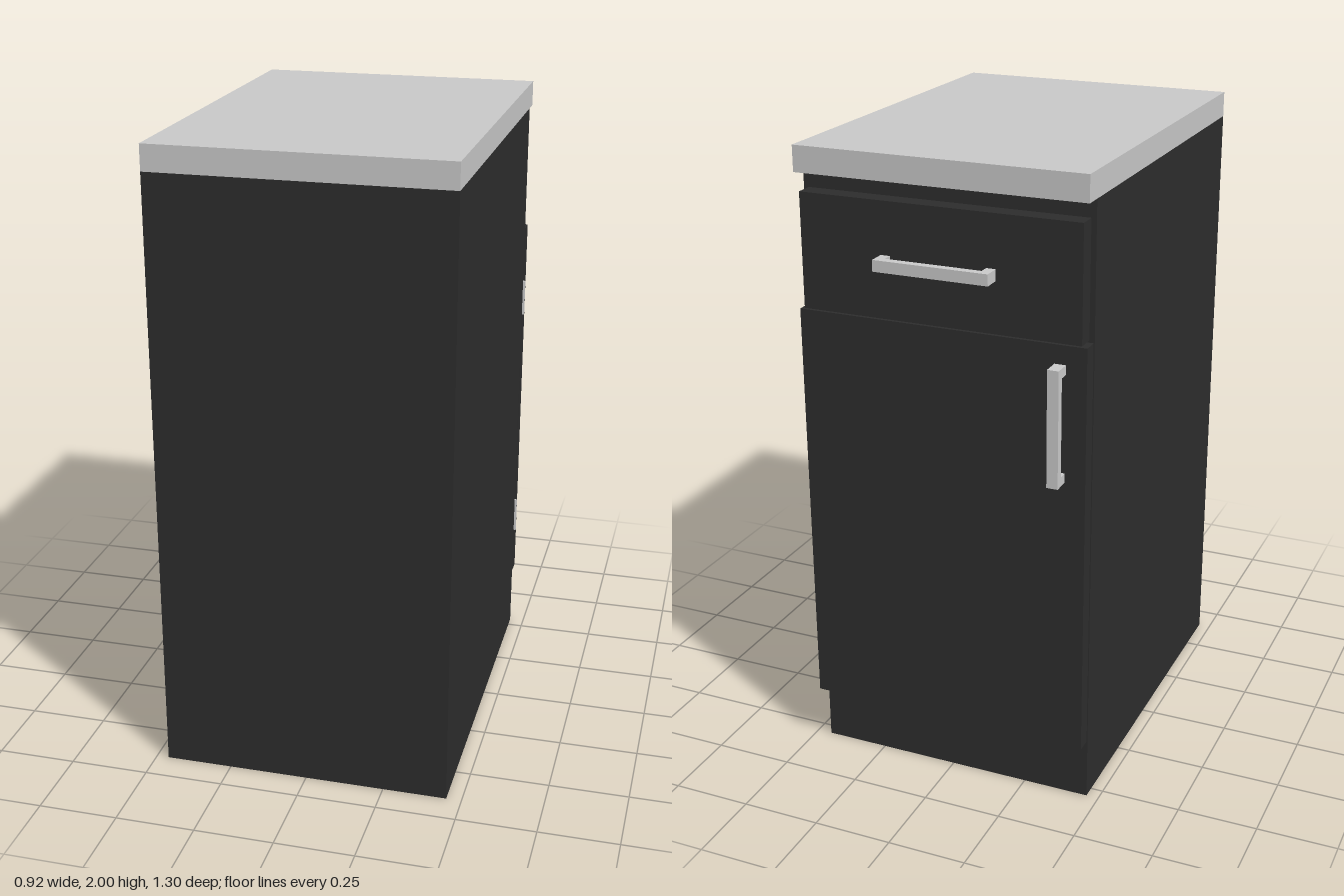
import * as THREE from 'three';

const mat = (name, color) => {
  const m = new THREE.MeshStandardMaterial({ color });
  m.name = name;
  return m;
};

// Box given by its min and max on each axis
function box(name, material, [x0, x1], [y0, y1], [z0, z1]) {
  const mesh = new THREE.Mesh(new THREE.BoxGeometry(x1 - x0, y1 - y0, z1 - z0), material);
  mesh.position.set((x0 + x1) / 2, (y0 + y1) / 2, (z0 + z1) / 2);
  mesh.name = name;
  return mesh;
}

// Square-section pull handle: a bracket outline extruded to its width
function pullHandle(name, material) {
  const half = 0.18, inner = 0.151, depth = 0.0545, gap = 0.03, width = 0.035;
  const shape = new THREE.Shape([
    [-half, 0], [-inner, 0], [-inner, gap], [inner, gap],
    [inner, 0], [half, 0], [half, depth], [-half, depth],
  ].map(([x, y]) => new THREE.Vector2(x, y)));
  const geo = new THREE.ExtrudeGeometry(shape, { depth: width, bevelEnabled: false });
  geo.translate(0, 0, -width / 2);
  geo.rotateX(-Math.PI / 2); // feet at z = 0, bar towards -z
  const mesh = new THREE.Mesh(geo, material);
  mesh.name = name;
  return mesh;
}

export function createModel() {
  const group = new THREE.Group();
  group.name = 'baseCabinet';
  const black = mat('blackPanel', 0x2d2d2d);
  const grey = mat('greyWorktop', 0xc8c8c8);
  const metal = mat('handleMetal', 0xcacaca);
  const sides = [-0.461, 0.452];

  // Body and worktop
  group.add(box('carcass', black, sides, [0, 1.92], [-0.541, 0.65]));
  group.add(box('worktop', grey, sides, [1.92, 2], [-0.598, 0.65]));

  // Drawer sits against the carcass, door hangs just off it
  group.add(box('drawerFront', black, [-0.445, 0.436], [1.512, 1.865], [-0.598, -0.541]));
  group.add(box('door', black, sides, [0.203, 1.508], [-0.598, -0.549]));

  // Handles
  const drawerHandle = pullHandle('drawerHandle', metal);
  drawerHandle.position.set(-0.004, 1.687, -0.598);
  const doorHandle = pullHandle('doorHandle', metal);
  doorHandle.rotation.z = Math.PI / 2;
  doorHandle.position.set(-0.38, 1.27, -0.598);
  group.add(drawerHandle, doorHandle);

  // Hinge plates in the gap on the hinge side
  for (const [name, y] of [['upperHinge', 1.26], ['lowerHinge', 0.43]]) {
    group.add(box(name, metal, [0.42, 0.459], [y - 0.06, y + 0.06], [-0.549, -0.542]));
  }
  return group;
}
